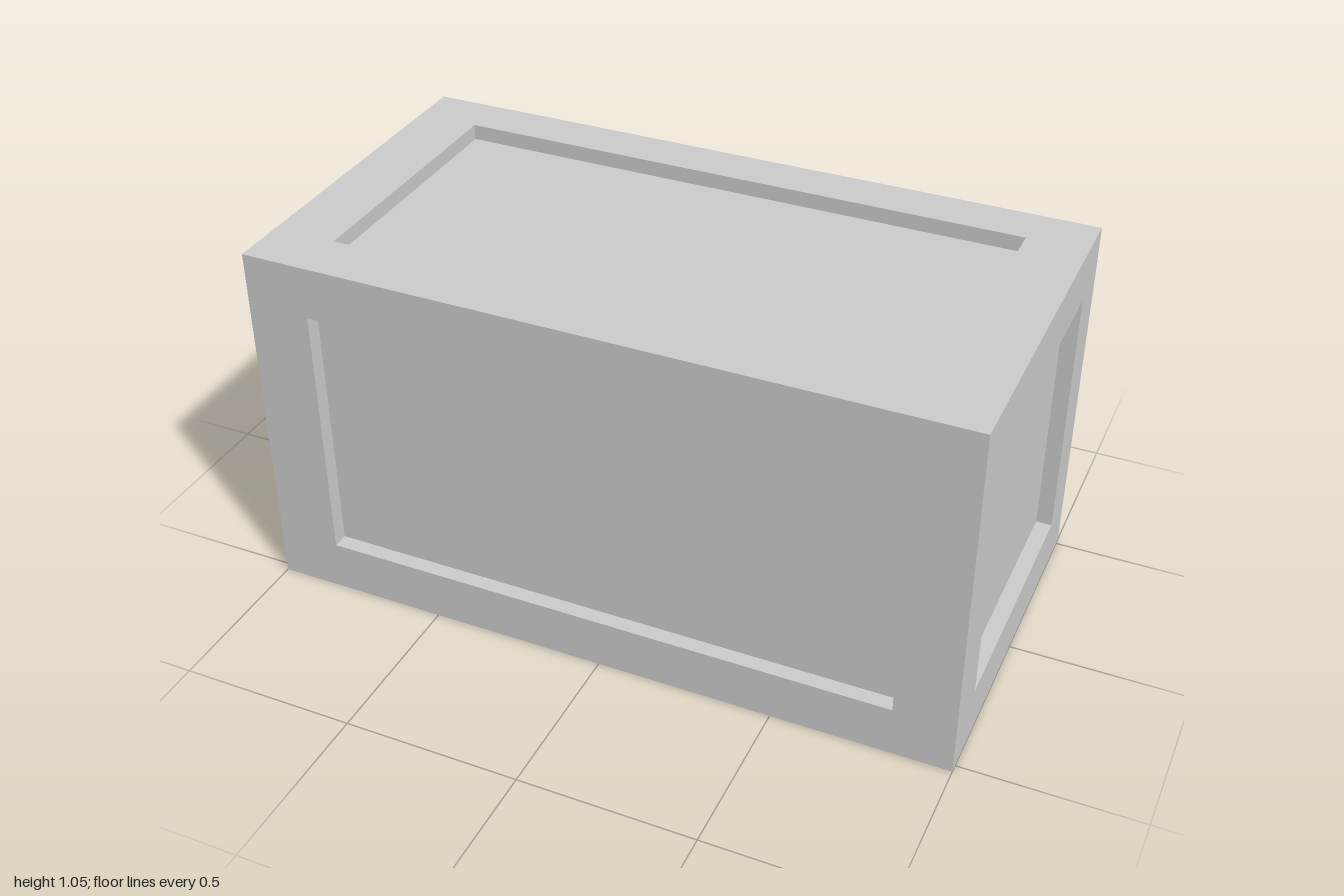
import * as THREE from 'three';

// Outer block and recess limits along x, y, z
const outer = { min: [-1, 0, -0.523], max: [1, 1.046, 0.523] };
const inner = { min: [-0.82, 0.146, -0.389], max: [0.83, 0.896, 0.368] };
const DEPTH = 0.045;

// Four corners of a box's cross-section at a given level along an axis,
// counter-clockwise when seen from the outside of the given side
function loop(box, axis, side, level) {
  const u = (axis + 1) % 3, v = (axis + 2) % 3;
  const corners = [['min', 'min'], ['max', 'min'], ['max', 'max'], ['min', 'max']].map(([a, b]) => {
    const p = [0, 0, 0];
    p[axis] = level;
    p[u] = box[a][u];
    p[v] = box[b][v];
    return p;
  });
  return side > 0 ? corners : corners.reverse();
}

// Flat-shaded mesh from four-cornered faces
function quadMesh(name, quads, material) {
  const points = quads.flatMap(([a, b, c, d]) => [a, b, c, a, c, d]);
  const geometry = new THREE.BufferGeometry();
  geometry.setAttribute('position', new THREE.Float32BufferAttribute(points.flat(), 3));
  geometry.computeVertexNormals();
  const mesh = new THREE.Mesh(geometry, material);
  mesh.name = name;
  return mesh;
}

// Quads joining one loop to the next
const bridge = (a, b) => a.map((p, i) => {
  const j = (i + 1) % 4;
  return [p, a[j], b[j], b[i]];
});

export function createModel() {
  const model = new THREE.Group();
  model.name = 'crate';
  const material = new THREE.MeshStandardMaterial({ color: 0xcccccc, flatShading: true });
  const names = [['right', 'left'], ['bottom', 'top'], ['back', 'front']];

  // Each side: flat border, recess walls and sunken panel
  for (let axis = 0; axis < 3; axis++) {
    for (const side of [-1, 1]) {
      const name = names[axis][side > 0 ? 1 : 0];
      const level = outer[side > 0 ? 'max' : 'min'][axis];
      const rim = loop(outer, axis, side, level);
      const lip = loop(inner, axis, side, level);
      const floor = loop(inner, axis, side, level - side * DEPTH);
      const group = new THREE.Group();
      group.name = name + 'Side';
      group.add(
        quadMesh(name + 'Border', bridge(rim, lip), material),
        quadMesh(name + 'RecessWalls', bridge(lip, floor), material),
        quadMesh(name + 'Panel', [floor], material),
      );
      model.add(group);
    }
  }
  return model;
}
